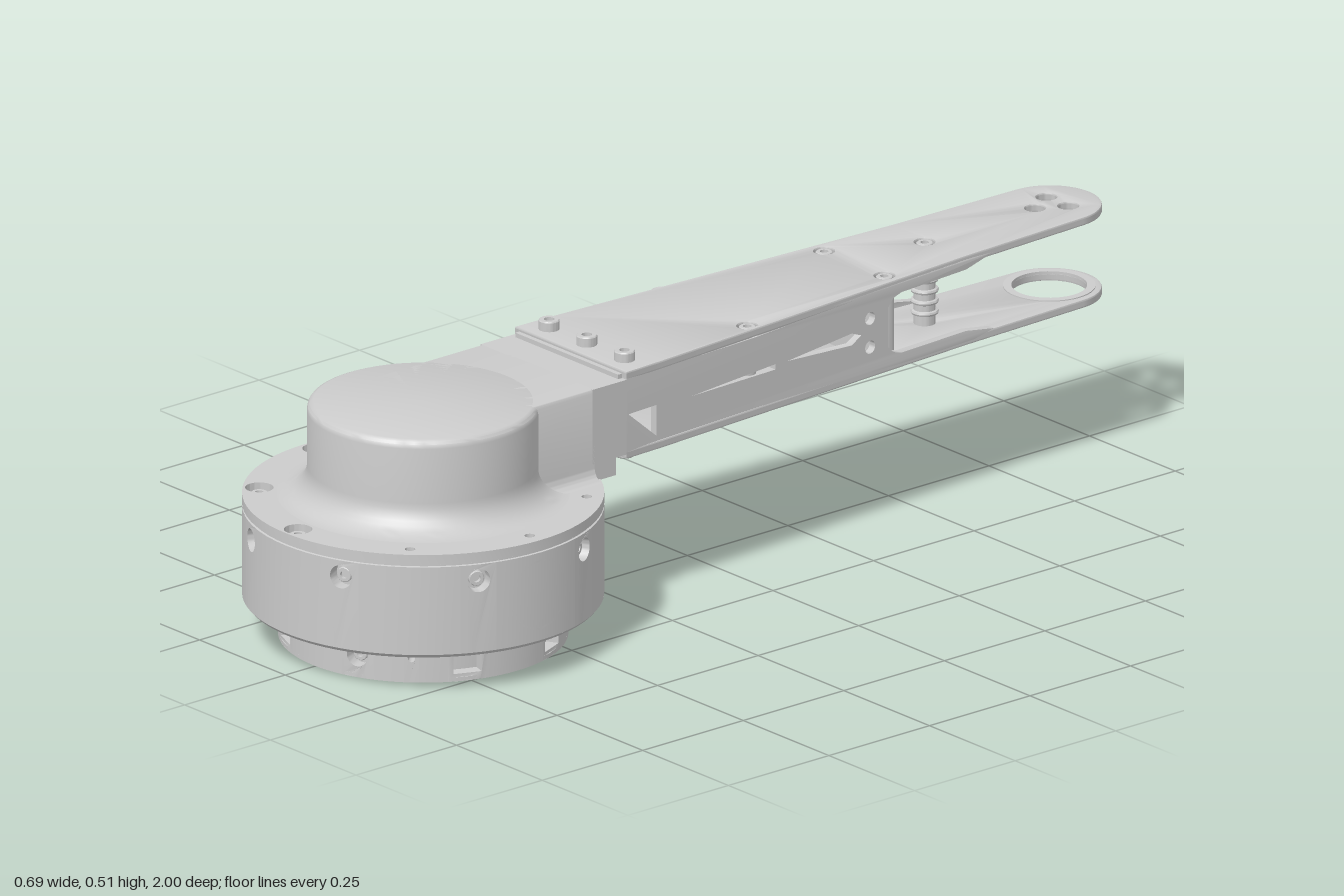
import * as THREE from 'three';
import { toCreasedNormals } from 'three/addons/utils/BufferGeometryUtils.js';

const grey = new THREE.MeshStandardMaterial({ color: 0xcccccc, side: THREE.DoubleSide });
const DZ = 0.657, DR = 0.343; // drum centre and radius
const rad = THREE.MathUtils.degToRad;

function add(parent, name, geo, x = 0, y = 0, z = 0) {
  const m = new THREE.Mesh(toCreasedNormals(geo, 0.6), grey);
  m.name = name;
  m.position.set(x, y, z);
  parent.add(m);
  return m;
}
const lathe = (pts, seg = 72) => new THREE.LatheGeometry(pts.map(p => new THREE.Vector2(...p)), seg);
const poly = pts => new THREE.Shape(pts.map(p => new THREE.Vector2(...p)));
function circle(x, y, r) {
  const s = new THREE.Shape();
  s.absarc(x, y, r, 0, Math.PI * 2);
  return s;
}
const extrude = (shape, depth, extra = {}) =>
  new THREE.ExtrudeGeometry(shape, { depth, bevelEnabled: false, curveSegments: 14, ...extra });
// Horizontal plate: shape y points to the back, thickness goes up
const slab = (shape, depth, extra) => extrude(shape, depth, extra).rotateX(-Math.PI / 2);
function warp(geo, rule) {
  const p = geo.attributes.position, v = new THREE.Vector3();
  for (let i = 0; i < p.count; i++) {
    rule(v.fromBufferAttribute(p, i));
    p.setXYZ(i, v.x, v.y, v.z);
  }
  return geo;
}
// Wrap a flat piece around the drum axis at the given angle from the front
const bend = (geo, r, angle, depth) => warp(geo, v => {
  const t = angle + v.x / r, d = r - depth + v.z;
  v.set(d * Math.sin(t), v.y, d * Math.cos(t));
});
// Socket-head screw standing on y = 0
const screw = (r, h) => lathe([[0, h * 0.4], [r * 0.5, h * 0.4], [r * 0.5, h], [r * 0.92, h], [r, h * 0.9], [r, 0]], 20);

// Cylindrical wall with openings; each item is { a: degrees, half: degrees, y, r | slot }
function openWall(parent, name, R, y0, y1, items, depth) {
  items.sort((p, q) => p.a - q.a);
  items.forEach((it, i) => {
    const w = rad(it.half) * R;
    const edge = [];
    for (let k = 0; k <= 6; k++) edge.push([-w + w * k / 3, y0]);
    for (let k = 6; k >= 0; k--) edge.push([-w + w * k / 3, y1]);
    const panel = poly(edge);
    if (it.slot) {
      const [sx, sy] = it.slot;
      panel.holes.push(poly([[-sx, it.y - sy], [sx, it.y - sy], [sx, it.y + sy], [-sx, it.y + sy]]));
    } else panel.holes.push(circle(0, it.y, it.r));
    add(parent, name + 'Panel', bend(extrude(panel, depth), R, rad(it.a), depth));
    const next = items[(i + 1) % items.length];
    const start = it.a + it.half;
    const span = ((next.a - next.half - start) % 360 + 360) % 360;
    add(parent, name + 'Wall', new THREE.CylinderGeometry(R, R, y1 - y0, Math.max(2, Math.ceil(span / 4)), 1, true, rad(start), rad(span)), 0, (y0 + y1) / 2);
    if (it.r > 0.01) {
      const s = add(parent, name + 'Screw', screw(it.r * 0.65, depth * 0.5));
      const t = rad(it.a), d = R - depth;
      s.position.set(d * Math.sin(t), it.y, d * Math.cos(t));
      s.rotation.set(Math.PI / 2, t, 0, 'YXZ');
    }
  });
  add(parent, name + 'Core', new THREE.CylinderGeometry(R - depth, R - depth, y1 - y0, 72, 1, true), 0, (y0 + y1) / 2);
}

function buildBase(root) {
  const g = new THREE.Group();
  g.name = 'base';
  g.position.z = DZ;
  root.add(g);

  // Foot with screw holes, slots and pin holes
  const foot = [22.5, 157.5, 202.5, 247.5, 292.5].map(a => ({ a, half: 7, y: 0.048, r: 0.022 }));
  for (const a of [67.5, 112.5, 337.5]) foot.push({ a, half: 8, y: 0.043, slot: [0.028, 0.024] });
  for (const a of [45, 135, 225, 315]) foot.push({ a, half: 3, y: 0.052, r: 0.007 });
  openWall(g, 'foot', 0.275, 0.004, 0.08, foot, 0.025);

  // Underside with raised hub
  const bottom = circle(0, 0, 0.275), hub = circle(0, 0, 0.145);
  bottom.holes.push(circle(0, 0, 0.14));
  hub.holes.push(circle(0, 0, 0.068));
  for (let i = 0; i < 6; i++) {
    const t = i * Math.PI / 3;
    hub.holes.push(circle(0.103 * Math.cos(t), 0.103 * Math.sin(t), 0.014));
  }
  add(g, 'footBottom', slab(bottom, 0.008, { curveSegments: 36 }), 0, 0.004);
  add(g, 'hub', slab(hub, 0.012, { curveSegments: 24 }));
  add(g, 'hubFloor', new THREE.CylinderGeometry(0.15, 0.15, 0.01, 48), 0, 0.021);

  // Drum
  const holes = [];
  for (let i = 0; i < 8; i++) holes.push({ a: 22.5 + 45 * i, half: 6, y: 0.229, r: 0.023 });
  openWall(g, 'drum', DR, 0.085, 0.262, holes, 0.025);
  add(g, 'drumLowerEdge', lathe([[0.25, 0.078], [0.337, 0.078], [DR, 0.085]]));
  add(g, 'drumSeam', lathe([[DR, 0.262], [0.339, 0.263], [0.339, 0.266], [DR, 0.267]]));
  add(g, 'drumFloor', new THREE.CircleGeometry(0.34, 64).rotateX(-Math.PI / 2), 0, 0.266);
  for (let i = 0; i < 8; i++) {
    const t = rad(45 * i);
    const s = add(g, 'lowerScrew', screw(0.011, 0.004), 0.31 * Math.sin(t), 0.079, 0.31 * Math.cos(t));
    s.rotation.x = Math.PI;
  }
  // Round cover outline on the left side
  add(g, 'sideCover', bend(new THREE.RingGeometry(0.066, 0.07, 48).translate(0, 0.178, 0), DR + 0.0008, Math.PI / 2, 0));

  // Top flange with large holes on one half, small ones on the other
  const flange = circle(0, 0, DR);
  flange.holes.push(circle(0, 0, 0.2));
  for (let i = 0; i < 8; i++) {
    if (i === 4) continue;
    const t = rad(45 * i), big = i === 0 || i > 5;
    const x = 0.311 * Math.sin(t), z = 0.311 * Math.cos(t);
    flange.holes.push(circle(x, -z, big ? 0.027 : 0.01));
    if (big) add(g, 'flangeScrew', screw(0.016, 0.012), x, 0.266, z);
  }
  add(g, 'flange', slab(flange, 0.02, { curveSegments: 40 }), 0, 0.267);

  // Neck with concave foot and rounded top edge
  const neck = [];
  for (let i = 0; i <= 8; i++) {
    const t = i * Math.PI / 16;
    neck.push([0.278 - 0.058 * Math.sin(t), 0.345 - 0.058 * Math.cos(t)]);
  }
  neck.push([0.22, 0.455], [0.2185, 0.463], [0.215, 0.468], [0.208, 0.471], [0, 0.471]);
  add(g, 'neck', lathe(neck));
}

function buildBridge(root) {
  // Block joining neck and arm, flared where it meets the flange
  const s = new THREE.Shape();
  s.moveTo(-0.19, 0.286);
  s.lineTo(0.19, 0.286);
  s.quadraticCurveTo(0.163, 0.29, 0.163, 0.32);
  s.lineTo(0.163, 0.463);
  s.quadraticCurveTo(0.163, 0.471, 0.155, 0.471);
  s.lineTo(-0.155, 0.471);
  s.quadraticCurveTo(-0.163, 0.471, -0.163, 0.463);
  s.lineTo(-0.163, 0.32);
  s.quadraticCurveTo(-0.163, 0.29, -0.19, 0.286);
  add(root, 'bridge', extrude(s, 0.28), 0, 0, 0.37);
  add(root, 'bridgeEnd', new THREE.BoxGeometry(0.326, 0.151, 0.085), 0, 0.3955, 0.3325);
  add(root, 'bridgeFoot', new THREE.BoxGeometry(0.326, 0.04, 0.06), 0, 0.305, 0.346);
}

// Arm half-width along z
const halfWidth = z => z > -0.6 ? 0.163 - 0.0596 * (0.29 - z) : 0.11 - (-0.6 - z) * 0.0333;

function armOutline() {
  const s = new THREE.Shape();
  s.moveTo(-0.163, -0.29);
  s.lineTo(0.163, -0.29);
  s.lineTo(0.16, -0.2);
  s.lineTo(0.11, 0.6);
  s.lineTo(0.1, 0.9);
  s.absarc(0, 0.9, 0.1, 0, Math.PI);
  s.lineTo(-0.11, 0.6);
  s.lineTo(-0.16, -0.2);
  return s;
}

function buildArm(root) {
  const g = new THREE.Group();
  g.name = 'arm';
  root.add(g);
  const bevel = { bevelEnabled: true, bevelThickness: 0.004, bevelSize: 0.004, bevelOffset: -0.004, bevelSegments: 2 };
  const screws = [[0, -0.59], [-0.088, -0.415], [0.088, -0.415], [-0.122, -0.045], [0.122, -0.045]];

  // Upper plate with three tip holes, rising slightly to the back
  const top = armOutline();
  for (const [x, z] of [[-0.032, -0.92], [0.032, -0.92], [0, -0.865]]) top.holes.push(circle(x, -z, 0.02));
  for (const [x, z] of screws) top.holes.push(circle(x, -z, 0.02));
  const upper = add(g, 'upperPlate', slab(top, 0.01, bevel), 0, 0.475, 0);
  upper.rotation.x = 0.006;
  add(g, 'frontStep', new THREE.BoxGeometry(0.3, 0.012, 0.012), 0, 0.474, 0.294);

  // Lower plate with a large tip opening
  const low = armOutline();
  low.holes.push(circle(0, 0.9, 0.072));
  for (const [x, z] of screws) low.holes.push(circle(x, -z, 0.01));
  add(g, 'lowerPlate', slab(low, 0.01, bevel), 0, 0.314, 0);
  for (const [name, y] of [['lowerTipRim', 0.322], ['upperTipRim', 0.476]]) {
    const rim = circle(0, 0.9, 0.088);
    rim.holes.push(circle(0, 0.9, 0.072));
    add(g, name, slab(rim, 0.008, { curveSegments: 24 }), 0, y);
  }
  for (const [x, z] of screws) {
    add(g, 'plateScrew', screw(0.016, 0.012), x, 0.475 - z * 0.006, z);
    add(g, 'screwPost', new THREE.CylinderGeometry(0.021, 0.021, 0.152, 20), x * 0.95, 0.398, z);
  }

  // Side walls: fork-shaped rear end, triangular window, slits and round holes
  const wall = poly([[-0.29, 0.318], [0.62, 0.318], [0.67, 0.328], [0.6, 0.34], [0.43, 0.34], [0.41, 0.346], [0.395, 0.36],
    [0.395, 0.44], [0.41, 0.456], [0.43, 0.462], [0.6, 0.464], [0.67, 0.482], [0.62, 0.484], [-0.29, 0.478]]);
  wall.holes.push(
    poly([[-0.285, 0.4], [-0.212, 0.4], [-0.212, 0.338]]),
    poly([[-0.12, 0.394], [0.1, 0.391], [0.1, 0.402]]),
    poly([[0.13, 0.4], [0.3, 0.388], [0.325, 0.402], [0.3, 0.412]]),
    circle(0.348, 0.43, 0.013), circle(0.348, 0.372, 0.013));
  const t = 0.016;
  for (const side of [1, -1]) {
    add(g, side > 0 ? 'leftWall' : 'rightWall', warp(extrude(wall, t), v => {
      const h = halfWidth(-v.x);
      v.set(side > 0 ? h - t + v.z : v.z - h, v.y, -v.x);
    }));
  }
  add(g, 'crossWall', new THREE.BoxGeometry(0.23, 0.155, 0.012), 0, 0.4, -0.385);

  // Ribbed post between the plates
  for (let i = 0; i < 5; i++) {
    add(g, 'postRib', new THREE.TorusGeometry(0.022, 0.005, 8, 24).rotateX(Math.PI / 2), 0, 0.352 + i * 0.022, -0.59);
  }

  // Clamping bolts above and below the joint
  for (const x of [-0.11, 0, 0.11]) {
    add(g, 'topBolt', screw(0.02, 0.022), x, 0.485, 0.25);
    add(g, 'bottomBolt', screw(0.02, 0.02), x, 0.314, 0.25).rotation.x = Math.PI;
  }
}

export function createModel() {
  const root = new THREE.Group();
  root.name = 'armWithBase';
  buildBase(root);
  buildBridge(root);
  buildArm(root);
  return root;
}
